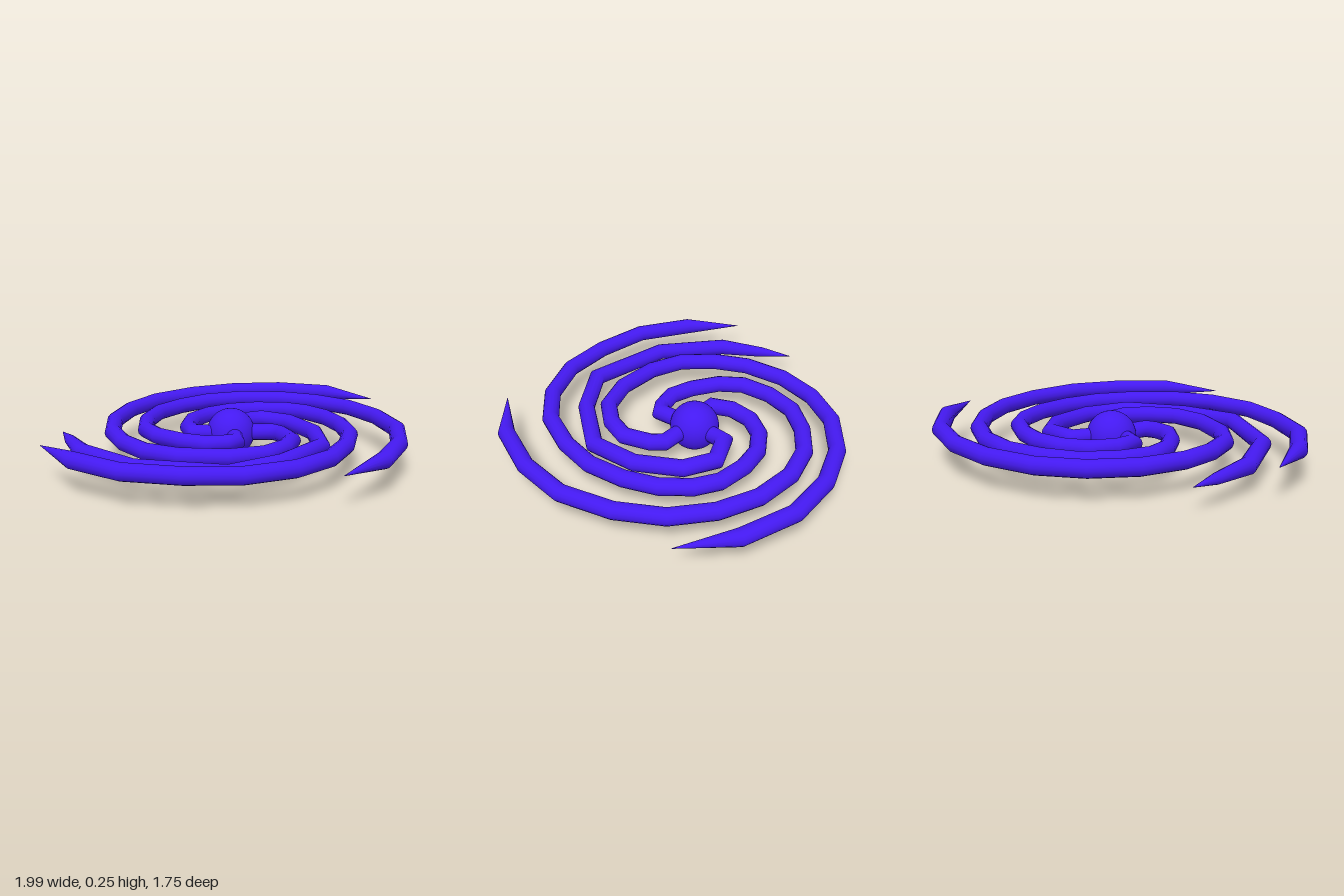
import * as THREE from 'three';

const SIDES = 14;
const RADIUS = 0.043;
const HUB_Y = 0.13;

// Arm centre lines as x, z pairs, from the hub out to the pointed tip
const shortArm = [0.06, -0.18, 0.15, -0.28, 0.31, -0.24, 0.38, -0.08, 0.345, 0.16, 0.205, 0.37,
  -0.125, 0.45, -0.425, 0.425, -0.72, 0.085, -0.79, -0.28, -0.74, -0.51, -0.70, -0.67];
const rightArm = [0.03, -0.10, 0.175, 0.02, 0.18, 0.09, 0.135, 0.225, 0.02, 0.30, -0.13, 0.33,
  -0.31, 0.27, -0.485, 0.12, -0.575, -0.04, -0.585, -0.23, -0.54, -0.415, -0.415, -0.61,
  -0.23, -0.755, -0.01, -0.835, 0.255, -0.835, 0.505, -0.755, 0.735, -0.595, 0.905, -0.345, 0.99, -0.05];
const frontArm = [-0.015, -0.07, -0.09, 0.05, -0.15, 0.045, -0.245, 0, -0.315, -0.105, -0.365, -0.255,
  -0.355, -0.39, -0.26, -0.53, -0.115, -0.64, 0.065, -0.68, 0.255, -0.675, 0.445, -0.595,
  0.615, -0.44, 0.725, -0.245, 0.775, -0.02, 0.745, 0.225, 0.635, 0.48, 0.44, 0.675, 0.185, 0.815, -0.125, 0.87];
const leftArm = [-0.05, -0.13, -0.16, -0.22, -0.13, -0.325, -0.035, -0.42, 0.095, -0.46, 0.245, -0.445,
  0.375, -0.375, 0.495, -0.26, 0.545, -0.135, 0.55, 0.03, 0.50, 0.20, 0.40, 0.37, 0.245, 0.505,
  0.035, 0.615, -0.20, 0.64, -0.455, 0.575, -0.67, 0.42, -0.86, 0.21, -0.955, -0.07, -0.97, -0.37];

// Round tube with mitred bends, narrowing to a point at its last station
function armGeometry(path, rise, lastRadius) {
  const n = path.length / 2;
  const points = [];
  for (let i = 0; i < n; i++) {
    points.push(new THREE.Vector3(path[2 * i], HUB_Y + rise * i / (n - 1), path[2 * i + 1]));
  }
  const up = new THREE.Vector3(0, 1, 0);
  const positions = [], index = [];
  points.forEach((p, i) => {
    const before = p.clone().sub(points[Math.max(i - 1, 0)]).setY(0).normalize();
    const after = points[Math.min(i + 1, n - 1)].clone().sub(p).setY(0).normalize();
    const along = before.clone().add(after).normalize();
    const miter = i > 0 && i < n - 1 ? 1 / Math.max(along.dot(after), 0.75) : 1;
    const side = up.clone().cross(along);
    const r = i === n - 1 ? 0.001 : i === n - 2 ? lastRadius : RADIUS;
    for (let j = 0; j < SIDES; j++) {
      const a = j / SIDES * Math.PI * 2;
      const v = p.clone().addScaledVector(side, Math.cos(a) * r * miter).addScaledVector(up, Math.sin(a) * r);
      positions.push(v.x, v.y, v.z);
      if (i < n - 1) {
        const k = (j + 1) % SIDES, a0 = i * SIDES + j, b0 = i * SIDES + k;
        index.push(a0, b0, a0 + SIDES, b0, b0 + SIDES, a0 + SIDES);
      }
    }
  });
  const geometry = new THREE.BufferGeometry();
  geometry.setAttribute('position', new THREE.Float32BufferAttribute(positions, 3));
  geometry.setIndex(index);
  geometry.computeVertexNormals();
  return geometry;
}

export function createModel() {
  const group = new THREE.Group();
  group.name = 'spiral';
  const material = new THREE.MeshStandardMaterial({ color: 0x4419f0 });

  // Central ball
  const hub = new THREE.Mesh(new THREE.SphereGeometry(0.127, 32, 20), material);
  hub.name = 'hub';
  hub.position.set(0.012, 0.127, -0.13);
  group.add(hub);

  // Four spiral arms; the short one stays level, the others climb slightly
  const arms = [
    ['shortArm', shortArm, 0, 0.028],
    ['rightArm', rightArm, 0.046, RADIUS],
    ['frontArm', frontArm, 0.046, RADIUS],
    ['leftArm', leftArm, 0.046, RADIUS],
  ];
  for (const [name, path, rise, lastRadius] of arms) {
    const arm = new THREE.Mesh(armGeometry(path, rise, lastRadius), material);
    arm.name = name;
    group.add(arm);
  }
  return group;
}
